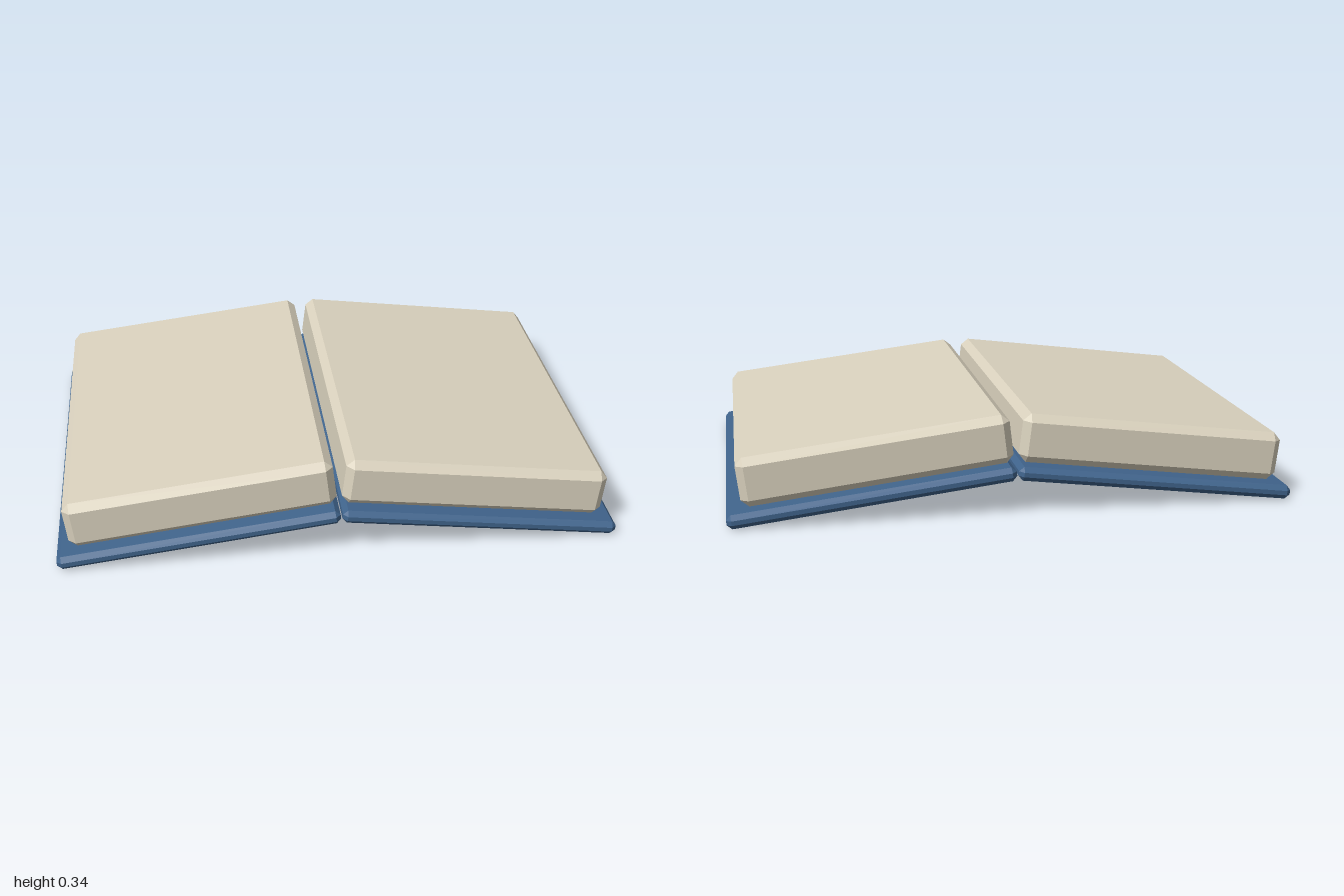
import * as THREE from 'three';
import { ConvexGeometry } from 'three/addons/geometries/ConvexGeometry.js';

// Box with every edge cut by a flat bevel, centred on the origin
function bevelledBox(width, height, depth, bevel) {
  const half = [width / 2, height / 2, depth / 2];
  const points = [];
  for (const sx of [-1, 1]) for (const sy of [-1, 1]) for (const sz of [-1, 1]) {
    const signs = [sx, sy, sz];
    for (let outer = 0; outer < 3; outer++) {
      const p = half.map((h, axis) => signs[axis] * (axis === outer ? h : h - bevel));
      points.push(new THREE.Vector3(...p));
    }
  }
  return new ConvexGeometry(points);
}

export function createModel() {
  const coverBlue = new THREE.MeshStandardMaterial({ color: 0x40648c });
  coverBlue.name = 'coverBlue';
  const pageCream = new THREE.MeshStandardMaterial({ color: 0xdad2be });
  pageCream.name = 'pageCream';

  const coverGeometry = bevelledBox(1.003, 0.05, 1.476, 0.017);
  const pagesGeometry = bevelledBox(0.95, 0.175, 1.4, 0.027);
  const tilt = THREE.MathUtils.degToRad(7);

  const book = new THREE.Group();
  book.name = 'openBook';

  // Each half slopes down from the central spine
  for (const [side, label] of [[1, 'left'], [-1, 'right']]) {
    const cover = new THREE.Mesh(coverGeometry, coverBlue);
    cover.name = label + 'Cover';
    cover.position.set(side * 0.501, 0.084, 0);
    cover.rotation.z = -side * tilt;

    const pages = new THREE.Mesh(pagesGeometry, pageCream);
    pages.name = label + 'Pages';
    pages.position.set(side * 0.488 - 0.003, 0.2035, 0);
    pages.rotation.z = -side * tilt;

    book.add(cover, pages);
  }
  return book;
}
